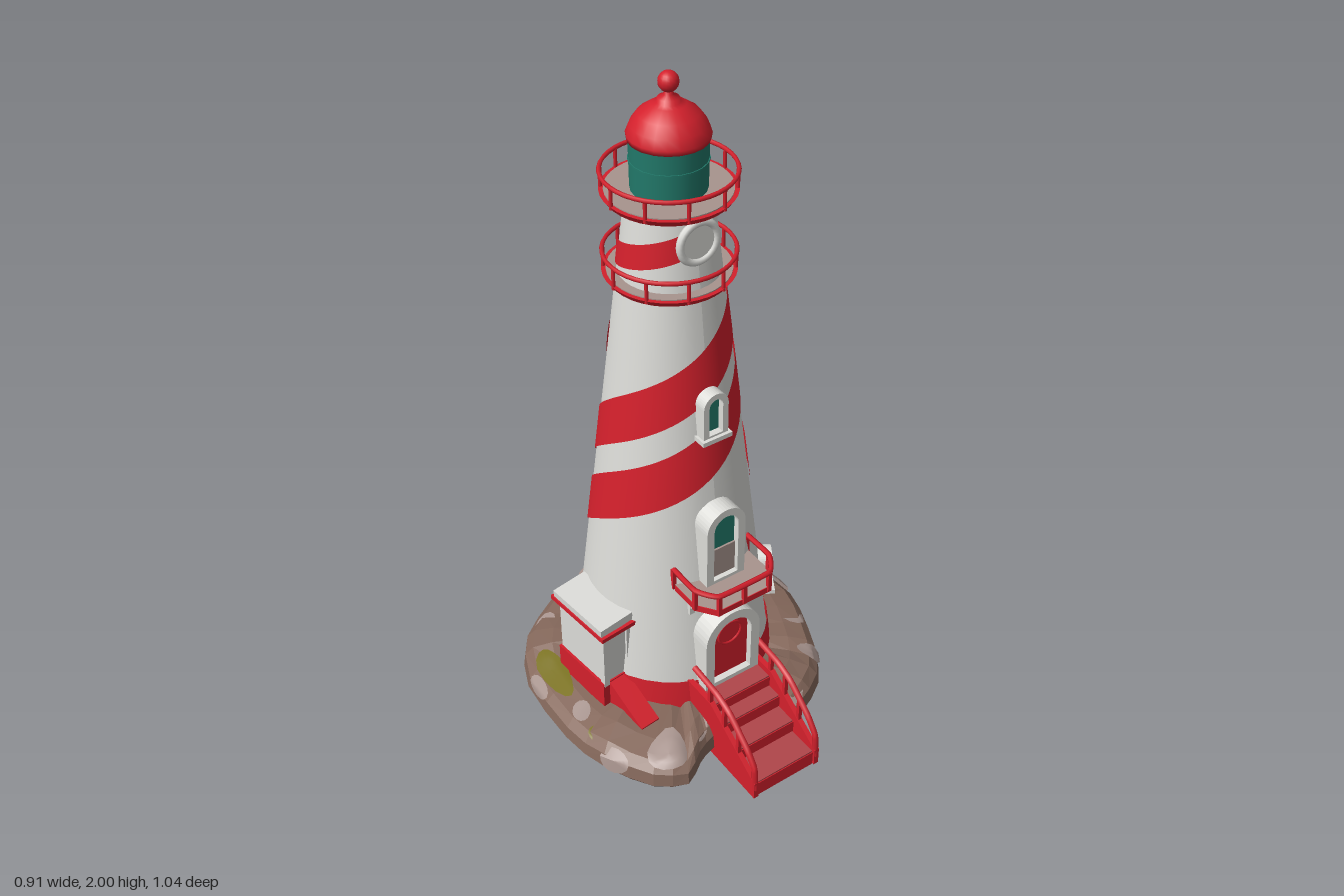
import * as THREE from 'three';

const mat = (name, color, extra = {}) => Object.assign(new THREE.MeshStandardMaterial({ color, ...extra }), { name });

export function createModel() {
  const white = mat('white plaster', 0xdcdcd8);
  const red = mat('red paint', 0xd4202c, { side: THREE.DoubleSide });
  const brick = mat('brick red', 0xb0464a);
  const teal = mat('teal glass', 0x22796a);
  const rockMat = mat('brown rock', 0x86695c, { flatShading: true });
  const pale = mat('pale stone', 0xa8948e, { side: THREE.DoubleSide });
  const moss = mat('moss', 0x7d7422, { side: THREE.DoubleSide });

  const model = new THREE.Group();
  const add = (name, geo, m, x = 0, y = 0, z = 0, parent = model) => {
    const mesh = new THREE.Mesh(geo, m);
    mesh.name = name;
    mesh.position.set(x, y, z);
    parent.add(mesh);
    return mesh;
  };
  const box = (name, m, w, h, d, x, y, z, parent) => add(name, new THREE.BoxGeometry(w, h, d), m, x, y, z, parent);
  const tube = (name, m, pts, r, parent, seg = 16) => add(name, new THREE.TubeGeometry(
    new THREE.CatmullRomCurve3(pts.map(p => new THREE.Vector3(...p)), false, 'catmullrom', 0.2), seg, r, 6), m, 0, 0, 0, parent);

  // Surface from a rule fn(u, v): u runs right and v runs up, seen from outside
  const sheet = (nu, nv, fn) => {
    const pos = [], idx = [];
    for (let j = 0; j <= nv; j++) for (let i = 0; i <= nu; i++) pos.push(...fn(i / nu, j / nv));
    for (let j = 0; j < nv; j++) for (let i = 0; i < nu; i++) {
      const a = j * (nu + 1) + i, c = a + nu + 1;
      idx.push(a, a + 1, c + 1, a, c + 1, c);
    }
    const g = new THREE.BufferGeometry();
    g.setAttribute('position', new THREE.Float32BufferAttribute(pos, 3));
    g.setIndex(idx);
    g.computeVertexNormals();
    return g;
  };

  // Rock base: an uneven outline swept over a rounded side profile
  const CX = 0.01, CZ = -0.075;
  const outline = [[0, -.52], [.18, -.5], [.27, -.38], [.4, -.31], [.45, -.1], [.43, .05], [.37, .2], [.3, .3], [.17, .37],
    [.06, .33], [-.1, .32], [-.18, .35], [-.25, .39], [-.34, .34], [-.42, .2], [-.45, .04], [-.44, -.2], [-.36, -.35], [-.2, -.46]];
  const n = outline.length;
  const rim = new THREE.CatmullRomCurve3(outline.map(([x, z]) => new THREE.Vector3(x, 0, z)), true, 'catmullrom', 0.4);
  const side = [[.95, 0], [1, .035], [.985, .075], [.93, .1], [.8, .113], [.55, .118]];
  const rockPoint = (k, s, off = 0) => {
    const p = rim.getPoint((((k / n) % 1) + 1) % 1);
    const t = Math.min(Math.max(s, 0), 1) * 5, i = Math.min(Math.floor(t), 4), f = t - i;
    const scale = side[i][0] * (1 - f) + side[i + 1][0] * f + off;
    const lump = 1 + 0.08 * Math.sin(k * 2.1) + 0.05 * Math.sin(k * 4.7);
    const y = (side[i][1] * (1 - f) + side[i + 1][1] * f) * lump + off * 0.5 * Math.min(1, s * 3);
    return [p.x * scale, y, -0.07 + (p.z + 0.07) * scale];
  };
  add('rockBase', sheet(n * 2, 5, (u, v) => rockPoint(-u * n, v)), rockMat);
  const sole = new THREE.Shape(rim.getPoints(n * 2).map(p => new THREE.Vector2(p.x * 0.955, (p.z + 0.07) * 0.955 - 0.07)));
  add('rockUnderside', new THREE.ShapeGeometry(sole).rotateX(Math.PI / 2), brick, 0, 0.001, 0);

  // Pale stones and moss lying on the rock: [place on rim, height on side, half length, half height]
  const patch = (name, m, [k, s, du, ds]) => add(name, sheet(14, 4, (u, v) => {
    const a = u * Math.PI * 2;
    return rockPoint(k + du * v * Math.cos(a), s + ds * v * Math.sin(a), 0.012);
  }), m);
  [[18.7, .7, .25, .11], [18, .68, .25, .13], [1.7, .74, .3, .14], [3.4, .72, .25, .1], [5.1, .66, .45, .18], [6.5, .55, .3, .2],
    [8.1, .66, .55, .24], [10.7, .7, .45, .16], [12.6, .66, .6, .2], [14.9, .7, .2, .1], [15.7, .45, .2, .15],
    [17.1, .68, .4, .13], [4.1, .4, .25, .18], [13.8, .4, .3, .2]].forEach(p => patch('paleStone', pale, p));
  [[.75, .62, .35, .2], [15.8, .72, .55, .12], [14.3, .64, .25, .1], [2.4, .5, .2, .15]].forEach(p => patch('mossPatch', moss, p));

  // Tapered tower
  const R = y => 0.3 - 0.1185 * (y - 0.1);
  const wall = (a, y, off = 0) => [CX + (R(y) + off) * Math.sin(a), y, CZ + (R(y) + off) * Math.cos(a)];
  add('towerWall', sheet(36, 8, (u, v) => wall(u * Math.PI * 2, 0.08 + 1.61 * v)), white);
  add('baseBand', sheet(36, 1, (u, v) => wall(u * Math.PI * 2, 0.09 + 0.11 * v, 0.006)), red);

  // Painted spiral stripes: paths of [degrees around from front, height]
  const stripe = (pts, half) => {
    const path = new THREE.CatmullRomCurve3(pts.map(([d, y]) => new THREE.Vector3(d / 100, y, 0)));
    add('spiralStripe', sheet(80, 2, (u, v) => {
      const p = path.getPoint(u), e = Math.min(u, 1 - u) * 14;
      const h = half * Math.sqrt(Math.min(1, e * (2 - Math.min(e, 1))));
      return wall(p.x * 100 * Math.PI / 180, Math.min(p.y + (2 * v - 1) * h, 1.43), 0.004);
    }), red);
  };
  stripe([[105, .22], [150, .4], [215, .6], [270, .78], [360, .97], [450, 1.2], [560, 1.38]], 0.08);
  stripe([[130, .58], [215, .86], [270, 1.03], [360, 1.21], [432, 1.36]], 0.075);
  stripe([[52, .79], [90, .9], [150, 1.06], [228, 1.22]], 0.07);
  // Ragged upright seam where the stripes meet at the back
  add('stripeSeam', sheet(2, 40, (u, v) => {
    const w = (0.13 + 0.04 * Math.sin(v * 17)) * Math.sqrt(Math.min(1, v * 6, (1 - v) * 8));
    return wall(2.3 + 0.1 * Math.sin(v * 11) + (2 * u - 1) * w, 0.28 + 1.08 * v, 0.005);
  }), red);
  add('upperStripe', sheet(24, 1, (u, v) => wall(-2.2 + 2.15 * u, 1.47 + 0.09 * u + 0.07 * v, 0.004)), red);

  // Two round galleries with railings
  const gallery = (y, railY, posts) => {
    const g = new THREE.Group();
    g.name = 'gallery';
    g.position.set(CX, 0, CZ);
    model.add(g);
    add('galleryDeck', new THREE.CylinderGeometry(0.178, 0.165, 0.018, 36), red, 0, y, 0, g);
    add('galleryFloor', new THREE.CylinderGeometry(0.166, 0.166, 0.004, 36), pale, 0, y + 0.01, 0, g);
    add('galleryRail', new THREE.TorusGeometry(0.175, 0.006, 6, 40).rotateX(Math.PI / 2), red, 0, railY, 0, g);
    for (let i = 0; i < posts; i++) {
      const a = (i + 0.5) / posts * Math.PI * 2;
      add('galleryPost', new THREE.CylinderGeometry(0.005, 0.005, railY - y, 6), red,
        0.173 * Math.sin(a), (y + railY) / 2, 0.173 * Math.cos(a), g);
    }
  };
  gallery(1.445, 1.51, 10);
  gallery(1.678, 1.74, 10);

  // Lantern room, dome and finial
  add('lanternGlass', new THREE.CylinderGeometry(0.102, 0.1, 0.15, 20), teal, CX, 1.758, CZ);
  add('lanternBar', new THREE.CylinderGeometry(0.104, 0.104, 0.005, 20), teal, CX, 1.77, CZ);
  const dome = [[0, 1.826], [.106, 1.826], [.108, 1.84], [.098, 1.865], [.078, 1.893], [.045, 1.916], [.03, 1.92], [.028, 1.932],
    [.012, 1.94], [.011, 1.965]].map(p => new THREE.Vector2(...p));
  add('dome', new THREE.LatheGeometry(dome, 20), red, CX, 0, CZ);
  add('finialBall', new THREE.SphereGeometry(0.027, 16, 12), red, CX, 1.973, CZ);

  // Porthole
  add('portholeDisc', new THREE.CylinderGeometry(0.047, 0.047, 0.03, 24).rotateX(Math.PI / 2), white, CX, 1.59, 0.042);
  add('portholeRing', new THREE.TorusGeometry(0.056, 0.011, 8, 28), white, CX, 1.59, 0.054);

  // Arched openings: frame with a hole, and a pane set back inside it
  const arch = (w, h, b = 0, S = THREE.Shape) => {
    const s = new S(), r = w / 2 - b;
    s.moveTo(-r, b);
    s.lineTo(r, b);
    s.lineTo(r, h - w / 2);
    s.absarc(0, h - w / 2, r, 0, Math.PI, false);
    s.closePath();
    return s;
  };
  const solid = (shape, depth) => new THREE.ExtrudeGeometry(shape, { depth, bevelEnabled: false, curveSegments: 10 });
  const opening = (name, a, y, w, h, b, pane) => {
    const g = new THREE.Group();
    g.name = name;
    g.position.set(...wall(a, y));
    g.rotation.y = a;
    model.add(g);
    const frame = arch(w, h);
    frame.holes.push(arch(w, h, b, THREE.Path));
    add(name + 'Frame', solid(frame, 0.075), white, 0, 0, -0.05, g);
    add(name + 'Pane', solid(arch(w, h, b), 0.055), pane, 0, 0, -0.05, g);
    return g;
  };
  const upper = opening('upperWindow', 0, 1.02, 0.08, 0.15, 0.018, teal);
  box('upperSill', white, 0.095, 0.014, 0.05, 0, 0.005, 0.01, upper);
  const sideWin = opening('sideWindow', 1.05, 0.3, 0.08, 0.145, 0.02, brick);
  box('sideSill', white, 0.095, 0.014, 0.05, 0, 0.005, 0.01, sideWin);
  const balconyDoor = opening('balconyDoor', 0, 0.54, 0.13, 0.27, 0.024, teal);
  box('balconyDoorPanel', pale, 0.082, 0.1, 0.008, 0, 0.075, 0.007, balconyDoor);
  const door = opening('frontDoor', 0, 0.17, 0.19, 0.285, 0.03, red);
  add('doorRoundel', new THREE.TorusGeometry(0.04, 0.004, 6, 20), red, 0, 0.19, 0.006, door);

  // Balcony with railing and brackets
  const plan = [[-.122, .13], [-.122, .235], [-.08, .292], [.092, .292], [.134, .235], [.134, .13]];
  const deck = new THREE.Shape(plan.map(([x, z]) => new THREE.Vector2(x, -z)));
  add('balconyDeck', solid(deck, 0.02).rotateX(-Math.PI / 2), red, 0, 0.53, 0);
  add('balconyFloor', new THREE.ShapeGeometry(deck).rotateX(-Math.PI / 2), pale, 0, 0.553, 0);
  tube('balconyRail', red, plan.map(([x, z]) => [x, 0.607, z]), 0.008, model, 40);
  plan.concat([[.006, .292]]).forEach(([x, z]) => box('balconyPost', red, 0.012, 0.07, 0.012, x, 0.572, z));
  for (const x of [-0.085, 0.097]) {
    tube('balconyBracket', white, [[x, 0.46, 0.155], [x, 0.495, 0.2], [x, 0.53, 0.255]], 0.008);
    box('bracketFoot', white, 0.018, 0.09, 0.03, x, 0.49, 0.155);
  }

  // Front steps, side boards and handrails
  [[.515, .05], [.42, .095], [.35, .14], [.3, .18]].forEach(([z, y]) => {
    box('step', red, 0.2, y, z - 0.17, 0.006, y / 2, (z + 0.17) / 2);
    box('stepTread', brick, 0.196, 0.006, z - 0.175, 0.006, y + 0.002, (z + 0.17) / 2);
  });
  const board = new THREE.Shape([[.17, 0], [.52, 0], [.52, .06], [.3, .2], [.17, .2]].map(p => new THREE.Vector2(...p)));
  for (const x of [-0.104, 0.116]) {
    add('stairBoard', solid(board, 0.016).rotateY(-Math.PI / 2), red, x + 0.008, 0, 0);
    tube('stairHandrail', red, [[x, .03, .512], [x, .11, .508], [x, .16, .47], [x, .23, .385], [x, .255, .32], [x, .268, .21]], 0.01, model, 30);
    [[.43, .19], [.36, .24], [.29, .26]].forEach(([z, y]) => box('stairPost', red, 0.012, y - 0.08, 0.012, x, (y + 0.08) / 2, z));
  }

  // Small annex against the tower
  const annex = new THREE.Group();
  annex.name = 'annex';
  annex.position.set(-0.285, 0, -0.05);
  annex.rotation.y = 0.1;
  model.add(annex);
  box('annexBase', red, 0.115, 0.1, 0.215, 0.005, 0.15, 0, annex);
  box('annexWalls', white, 0.1, 0.21, 0.205, 0.005, 0.295, 0, annex);
  for (const x of [-0.04, 0.045]) box('annexCorner', white, 0.018, 0.2, 0.02, x, 0.29, 0.1, annex);
  box('annexTrim', red, 0.122, 0.014, 0.245, 0, 0.396, 0, annex);
  box('annexRoof', white, 0.115, 0.028, 0.225, 0, 0.416, 0, annex).rotation.z = 0.06;
  const ramp = new THREE.Shape([[.1, .08], [.255, .08], [.255, .12], [.1, .2]].map(p => new THREE.Vector2(...p)));
  add('annexRamp', solid(ramp, 0.065).rotateY(-Math.PI / 2), red, 0.035, 0, 0, annex);
  return model;
}
